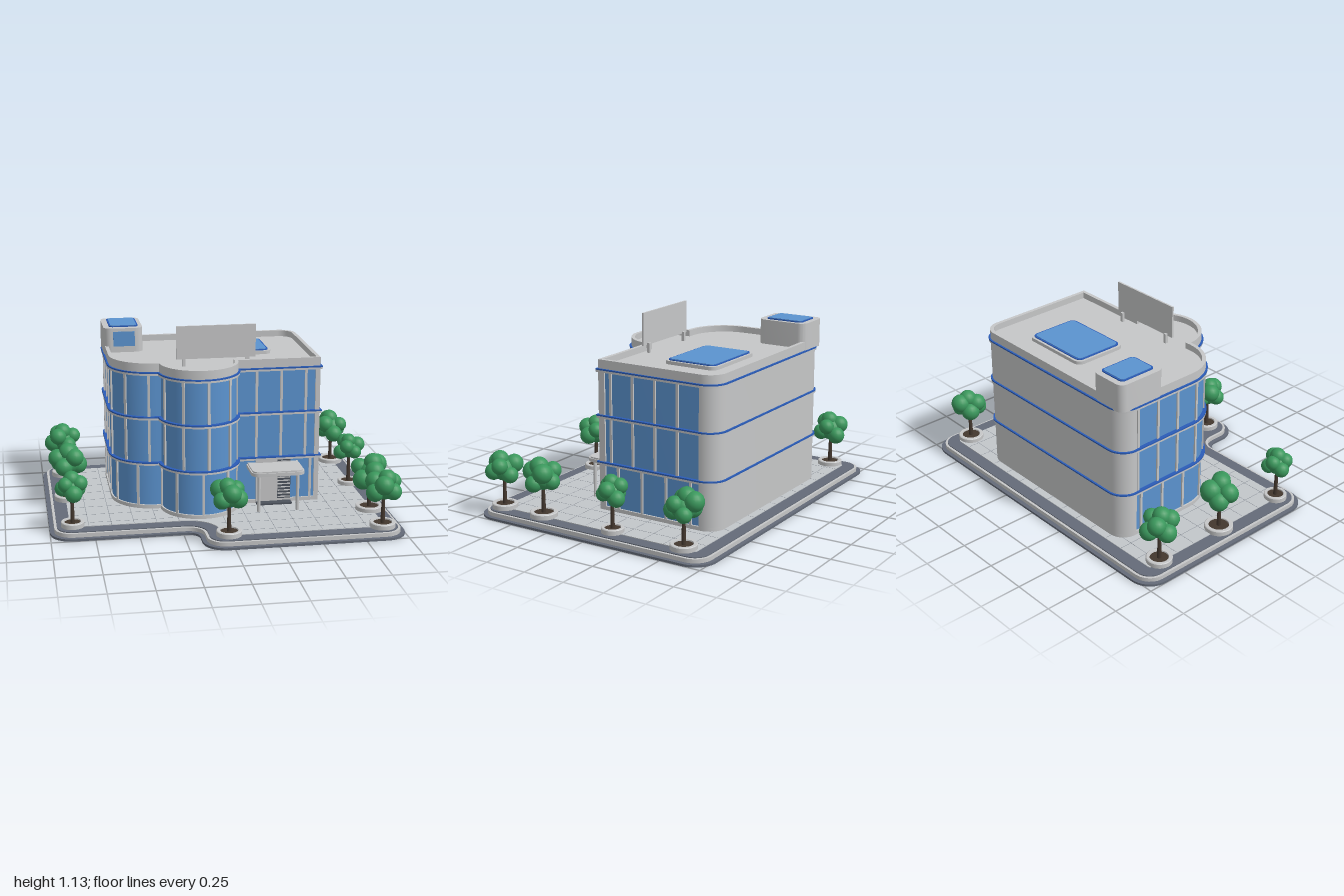
import * as THREE from 'three';
import { toCreasedNormals } from 'three/addons/utils/BufferGeometryUtils.js';

const PI = Math.PI;
const mat = (name, color) => {
  const m = new THREE.MeshStandardMaterial({ color });
  m.name = name;
  return m;
};

export function createModel() {
  const M = {
    asphalt: mat('asphalt', 0x646b78),
    paving: mat('paving', 0xc2c6ca),
    joint: mat('joint', 0x8f959c),
    concrete: mat('concrete', 0xc5c6c7),
    glass: mat('glass', 0x5b93cf),
    trim: mat('blueTrim', 0x2a5cb8),
    dark: mat('darkMetal', 0x4c525c),
    bark: mat('bark', 0x43372e),
    leaf: mat('leaf', 0x3a975c),
  };
  const root = new THREE.Group();
  root.name = 'officeBuilding';
  const group = (name) => {
    const g = new THREE.Group();
    g.name = name;
    root.add(g);
    return g;
  };
  const add = (parent, name, geo, material, x = 0, y = 0, z = 0) => {
    const m = new THREE.Mesh(geo, material);
    m.name = name;
    m.position.set(x, y, z);
    parent.add(m);
    return m;
  };
  const box = (parent, name, material, x0, x1, y0, y1, z0, z1) =>
    add(parent, name, new THREE.BoxGeometry(x1 - x0, y1 - y0, z1 - z0), material,
      (x0 + x1) / 2, (y0 + y1) / 2, (z0 + z1) / 2);

  // Plan outlines are lists of [x, z]
  const arc = (cx, cz, r, a0, a1, n = 10) => Array.from({ length: n + 1 }, (_, i) => {
    const a = a0 + (a1 - a0) * i / n;
    return [cx + r * Math.cos(a), cz + r * Math.sin(a)];
  });
  const roundRect = (x0, x1, z0, z1, r) => [
    ...arc(x0 + r, z1 - r, r, PI, PI / 2), ...arc(x1 - r, z1 - r, r, PI / 2, 0),
    ...arc(x1 - r, z0 + r, r, 0, -PI / 2), ...arc(x0 + r, z0 + r, r, -PI / 2, -PI),
  ];
  const toVec = (pts) => pts.map(([x, z]) => new THREE.Vector2(x, -z));
  const slab = (parent, name, pts, y0, y1, material, hole) => {
    const s = new THREE.Shape(toVec(pts));
    if (hole) s.holes.push(new THREE.Path(toVec(hole)));
    let g = new THREE.ExtrudeGeometry(s, { depth: y1 - y0, bevelEnabled: false });
    g.rotateX(-PI / 2);
    g.clearGroups();
    g = toCreasedNormals(g, 0.6);
    return add(parent, name, g, material, 0, y0, 0);
  };

  // Site: stepped L-shaped plate, inset by i
  const plot = (i) => [
    ...arc(-0.87, 0.37, 0.13 - i, PI, PI / 2), ...arc(-0.235, 0.57, 0.07 + i, -PI / 2, 0),
    ...arc(-0.035, 0.64, 0.13 - i, PI, PI / 2), ...arc(0.87, 0.64, 0.13 - i, PI / 2, 0),
    ...arc(0.87, -0.64, 0.13 - i, 0, -PI / 2), ...arc(-0.87, -0.64, 0.13 - i, -PI / 2, -PI),
  ];
  const site = group('site');
  slab(site, 'roadPlate', plot(0), 0, 0.013, M.asphalt);
  slab(site, 'curb', plot(0.025), 0.013, 0.036, M.concrete);
  slab(site, 'kerbBand', plot(0.04), 0.036, 0.041, M.asphalt);
  slab(site, 'pavement', plot(0.115), 0.041, 0.045, M.paving);
  const w = 0.0015;
  for (let x = -0.78; x < 0.86; x += 0.13)
    box(site, 'pavingJoint', M.joint, x - w, x + w, 0.043, 0.0455, -0.65, x < -0.04 ? 0.38 : 0.65);
  for (let z = -0.58; z < 0.64; z += 0.13)
    box(site, 'pavingJoint', M.joint, z > 0.38 ? -0.04 : -0.88, 0.88, 0.043, 0.0455, z - w, z + w);

  // Building outline, grown by o: curved corner, round bay, square corner, rounded back
  const glazed = (o) => {
    const r = 0.23 + o, a = Math.asin((0.01 + o) / r);
    return [
      [-0.61 - o, -0.5], ...arc(-0.36, -0.09, 0.25 + o, PI, PI / 2, 16),
      ...arc(-0.11, 0.15, r, PI - a, a, 28), [0.61 + o, 0.16 + o], [0.61 + o, -0.5],
    ];
  };
  const back = (o) => [
    ...arc(0.51, -0.51, 0.1 + o, 0, -PI / 2), ...arc(-0.51, -0.51, 0.1 + o, -PI / 2, -PI),
  ];
  const plan = (o) => [...glazed(o), ...back(o)];

  const b = group('building');
  slab(b, 'glassWalls', plan(-0.01), 0.045, 0.865, M.glass);
  slab(b, 'backWall', [[-0.61, -0.5], [0.61, -0.5], ...back(0)], 0.045, 0.87, M.concrete);
  slab(b, 'plinth', plan(0), 0.045, 0.067, M.concrete);
  box(b, 'cornerPier', M.concrete, 0.582, 0.61, 0.045, 0.865, 0.12, 0.16);
  for (const y of [0.325, 0.6, 0.866]) {
    slab(b, 'floorLedge', plan(0.01), y - 0.012, y, M.concrete);
    slab(b, 'blueStripe', plan(0.011), y, y + 0.008, M.trim);
  }
  slab(b, 'roofDeck', plan(-0.015), 0.86, 0.888, M.concrete);
  slab(b, 'parapet', plan(0), 0.874, 0.925, M.concrete, plan(-0.022));

  // Mullions spaced along the glazed outline, measured from its right rear end
  const path = glazed(-0.008).reverse();
  const mullions = (y0, y1, start, step) => {
    let next = start, run = 0;
    for (let i = 1; i < path.length; i++) {
      const [x0, z0] = path[i - 1], [x1, z1] = path[i];
      const len = Math.hypot(x1 - x0, z1 - z0);
      for (; next <= run + len; next += step) {
        const t = (next - run) / len;
        const m = add(b, 'mullion', new THREE.BoxGeometry(0.015, y1 - y0, 0.014), M.concrete,
          x0 + (x1 - x0) * t, (y0 + y1) / 2, z0 + (z1 - z0) * t);
        m.rotation.y = Math.atan2(z0 - z1, x1 - x0);
      }
      run += len;
    }
  };
  mullions(0.06, 0.315, 0.055, 0.16);
  mullions(0.33, 0.59, 0.14, 0.147);
  mullions(0.605, 0.856, 0.14, 0.147);

  // Entrance: canopy, columns, door panel, slatted door and step
  const e = group('entrance');
  slab(e, 'canopy', roundRect(0.175, 0.49, 0.1, 0.345, 0.045), 0.268, 0.288, M.concrete);
  slab(e, 'canopyTop', roundRect(0.182, 0.483, 0.11, 0.338, 0.04), 0.288, 0.296, M.concrete);
  for (const x of [0.22, 0.45])
    add(e, 'canopyColumn', new THREE.CylinderGeometry(0.01, 0.01, 0.225, 16), M.concrete, x, 0.157, 0.31);
  box(e, 'doorPanel', M.concrete, 0.23, 0.36, 0.045, 0.315, 0.14, 0.165);
  box(e, 'slattedDoor', M.dark, 0.36, 0.44, 0.06, 0.31, 0.14, 0.16);
  for (let y = 0.075; y < 0.3; y += 0.02)
    box(e, 'doorSlat', M.concrete, 0.362, 0.438, y, y + 0.006, 0.158, 0.165);
  box(e, 'step', M.dark, 0.23, 0.44, 0.045, 0.055, 0.16, 0.21);

  // Roof: stair tower, skylight and blank signboard
  const r = group('roof');
  slab(r, 'stairTower', roundRect(-0.615, -0.38, -0.615, -0.305, 0.045), 0.87, 1.035, M.concrete);
  slab(r, 'towerSkylightFrame', roundRect(-0.58, -0.405, -0.58, -0.345, 0.025), 1.035, 1.041, M.trim);
  slab(r, 'towerSkylightGlass', roundRect(-0.571, -0.414, -0.571, -0.354, 0.018), 1.041, 1.044, M.glass);
  box(r, 'towerWindow', M.glass, -0.56, -0.43, 0.925, 1.015, -0.308, -0.302);
  slab(r, 'skylightCurb', roundRect(-0.078, 0.375, -0.458, -0.118, 0.045), 0.885, 0.908, M.concrete);
  slab(r, 'skylightFrame', roundRect(-0.063, 0.36, -0.443, -0.133, 0.035), 0.908, 0.913, M.trim);
  slab(r, 'skylightGlass', roundRect(-0.053, 0.35, -0.433, -0.143, 0.028), 0.913, 0.916, M.glass);
  box(r, 'signboard', M.concrete, -0.235, 0.23, 0.933, 1.127, 0.109, 0.12);
  for (const x of [-0.19, 0.185])
    box(r, 'signPost', M.concrete, x - 0.009, x + 0.009, 0.885, 0.945, 0.094, 0.112);

  // Trees: x, z, crown scale
  let seed = 7;
  const rnd = () => (seed = (seed * 16807) % 2147483647) / 2147483647;
  const trees = [[-0.87, -0.57, 0.98], [-0.87, -0.11, 1.08], [-0.87, 0.36, 0.88], [-0.015, 0.64, 0.95],
    [0.87, -0.57, 1], [0.87, -0.11, 0.85], [0.87, 0.365, 1.05], [0.87, 0.647, 0.98]];
  for (const [x, z, s] of trees) {
    const t = group('tree');
    t.position.set(x, 0.041, z);
    const ring = [[0.076, 0], [0.076, 0.026], [0.072, 0.03], [0.055, 0.03], [0.053, 0.022]];
    add(t, 'planter', new THREE.LatheGeometry(
      ring.map(([a, c]) => new THREE.Vector2(a * s, c)), 28), M.concrete).geometry =
      toCreasedNormals(new THREE.LatheGeometry(ring.map(([a, c]) => new THREE.Vector2(a * s, c)), 28), 0.6);
    add(t, 'soil', new THREE.CylinderGeometry(0.055 * s, 0.055 * s, 0.022, 24), M.bark, 0, 0.012, 0);
    add(t, 'trunk', new THREE.CylinderGeometry(0.009, 0.013, 0.17, 12), M.bark, 0, 0.1, 0);
    const crown = (px, py, pz, rad) =>
      add(t, 'foliage', new THREE.SphereGeometry(rad * s, 18, 12), M.leaf, px * s, 0.232 + py * s, pz * s);
    crown(0, 0, 0, 0.07);
    const spin = rnd() * 6.28;
    for (let i = 0; i < 6; i++) {
      const a = spin + i * PI / 3, d = 0.05 + 0.015 * rnd();
      crown(d * Math.cos(a), (i % 2 ? -0.03 : 0.022) + 0.02 * rnd(), d * Math.sin(a), 0.045 + 0.013 * rnd());
    }
    crown(0.03 * (rnd() - 0.5), 0.06, 0.03 * (rnd() - 0.5), 0.052);
  }
  return root;
}
